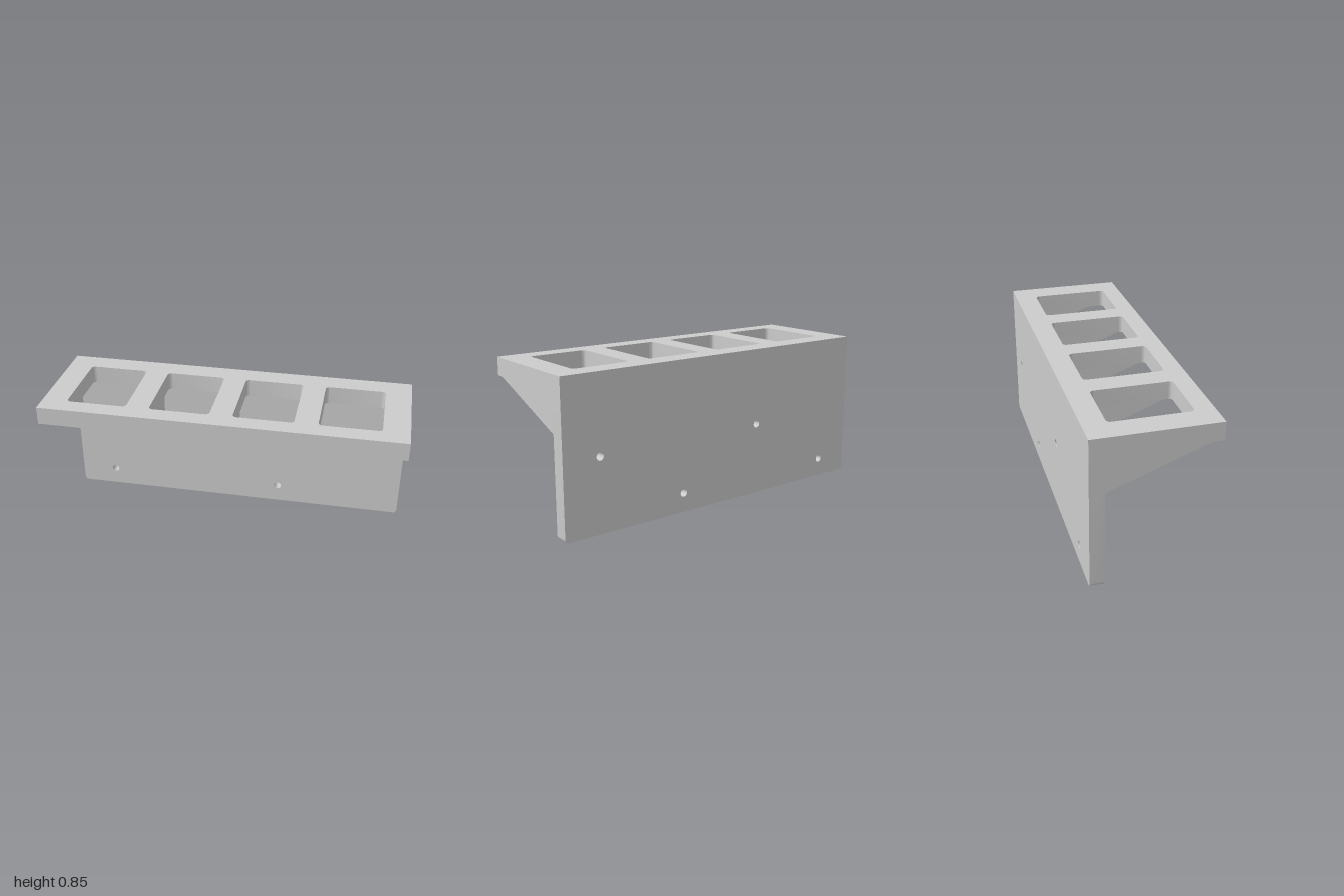
import * as THREE from 'three';
import { toCreasedNormals } from 'three/addons/utils/BufferGeometryUtils.js';

const HALF_W = 1, BACK = -0.333, FRONT = 0.333;
const TOP = 0.845, SHELF_BOTTOM = 0.745, PLATE_FRONT = -0.255;

// Outline with separate radii for the bottom and top corners
function outline(target, x0, y0, x1, y1, rBottom, rTop) {
  target.moveTo(x0 + rBottom, y0);
  target.lineTo(x1 - rBottom, y0);
  if (rBottom) target.absarc(x1 - rBottom, y0 + rBottom, rBottom, -Math.PI / 2, 0);
  target.lineTo(x1, y1 - rTop);
  if (rTop) target.absarc(x1 - rTop, y1 - rTop, rTop, 0, Math.PI / 2);
  target.lineTo(x0 + rTop, y1);
  if (rTop) target.absarc(x0 + rTop, y1 - rTop, rTop, Math.PI / 2, Math.PI);
  target.lineTo(x0, y0 + rBottom);
  if (rBottom) target.absarc(x0 + rBottom, y0 + rBottom, rBottom, Math.PI, Math.PI * 1.5);
  return target;
}

const extrude = (shape, depth) =>
  new THREE.ExtrudeGeometry(shape, { depth, bevelEnabled: false, curveSegments: 5 });

export function createModel() {
  const model = new THREE.Group();
  model.name = 'wallRack';
  const material = new THREE.MeshStandardMaterial({ color: 0xcccccc });
  const add = (name, geometry) => {
    const mesh = new THREE.Mesh(geometry, material);
    mesh.name = name;
    model.add(mesh);
  };

  // Wall plate with rounded lower corners and staggered screw holes
  const plate = outline(new THREE.Shape(), -HALF_W, 0, HALF_W, SHELF_BOTTOM, 0.02, 0);
  for (const [x, y] of [[-0.787, 0.108], [-0.263, 0.412], [0.262, 0.108], [0.787, 0.412]]) {
    plate.holes.push(new THREE.Path().absarc(x, y, 0.022, 0, Math.PI * 2, true));
  }
  const plateGeometry = extrude(plate, PLATE_FRONT - BACK);
  plateGeometry.translate(0, 0, BACK);
  add('wallPlate', toCreasedNormals(plateGeometry, 0.7));

  // Shelf with four rounded openings, drawn in x and -z, then laid flat
  const shelf = outline(new THREE.Shape(), -HALF_W, -FRONT, HALF_W, -BACK, 0, 0);
  for (const x of [-0.695, -0.232, 0.228, 0.69]) {
    shelf.holes.push(outline(new THREE.Path(), x - 0.167, -0.23, x + 0.167, 0.21, 0.022, 0.022));
  }
  const shelfGeometry = extrude(shelf, TOP - SHELF_BOTTOM);
  shelfGeometry.rotateX(-Math.PI / 2).translate(0, SHELF_BOTTOM, 0);
  add('shelf', toCreasedNormals(shelfGeometry, 0.7));

  // Triangular ribs under the shelf, profile in z and y
  const rib = new THREE.Shape([
    new THREE.Vector2(PLATE_FRONT, 0.545),
    new THREE.Vector2(0.27, SHELF_BOTTOM),
    new THREE.Vector2(PLATE_FRONT, SHELF_BOTTOM),
  ]);
  const ribWidth = 0.038;
  for (const x of [-0.981, -0.463, -0.002, 0.459, 0.981]) {
    const geometry = extrude(rib, ribWidth);
    geometry.rotateY(-Math.PI / 2).translate(x + ribWidth / 2, 0, 0);
    add('supportRib', geometry);
  }
  return model;
}
